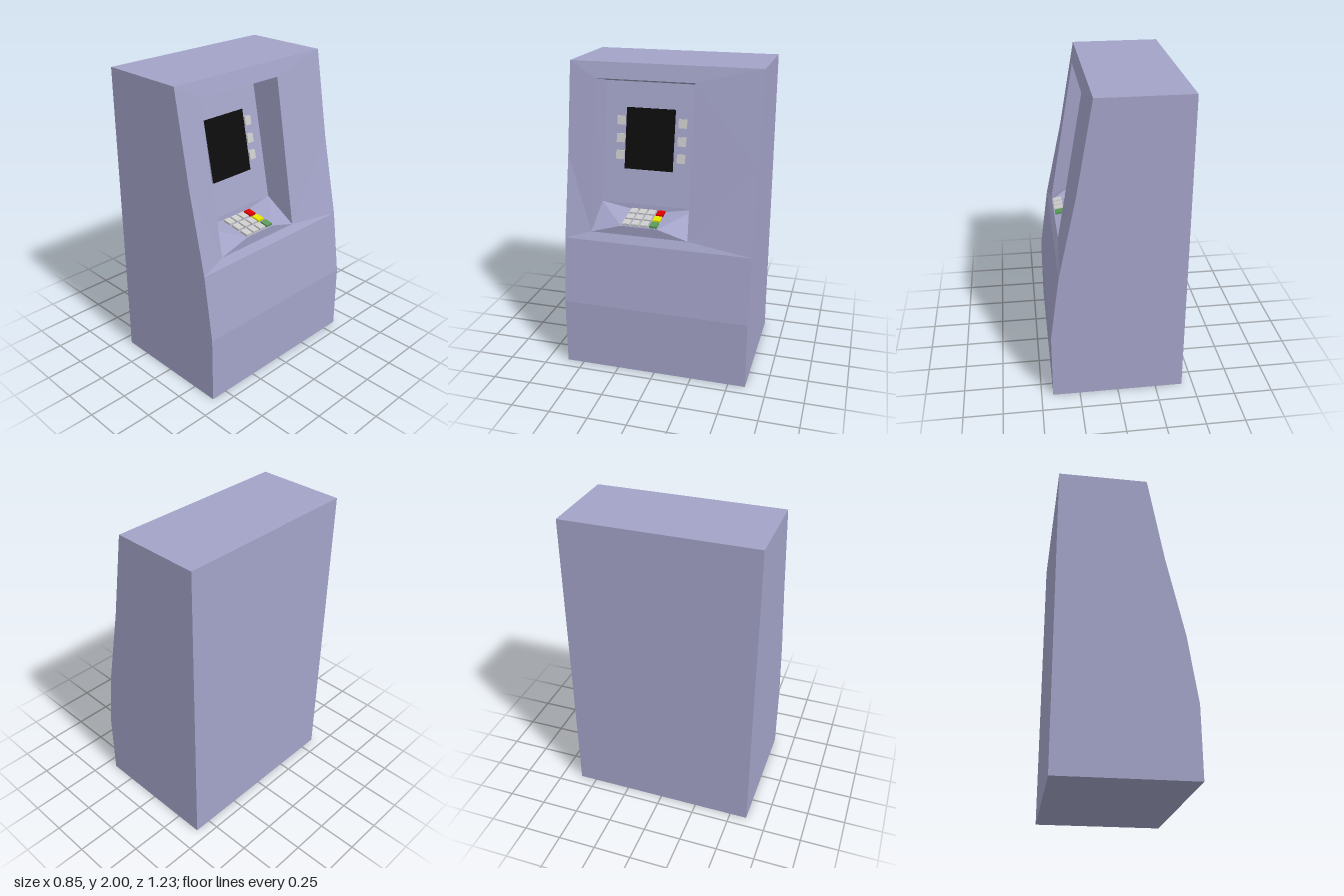
import * as THREE from 'three';

const paint = (color) => new THREE.MeshStandardMaterial({ color, flatShading: true });
const shellPaint = paint(0xa3a3c8);
const keyPaint = paint(0xcccccc);
const black = paint(0x0c0c0c);
const red = paint(0xdd0000);
const yellow = paint(0xe6e600);
const green = paint(0x5a9a58);

// Flat faces from corner lists (counter-clockwise seen from outside)
function facesMesh(name, faces) {
  const pos = [];
  for (const f of faces) {
    for (let i = 1; i < f.length - 1; i++) pos.push(...f[0], ...f[i], ...f[i + 1]);
  }
  const geo = new THREE.BufferGeometry();
  geo.setAttribute('position', new THREE.Float32BufferAttribute(pos, 3));
  geo.computeVertexNormals();
  const mesh = new THREE.Mesh(geo, shellPaint);
  mesh.name = name;
  return mesh;
}

function box(parent, name, size, at, material) {
  const mesh = new THREE.Mesh(new THREE.BoxGeometry(...size), material);
  mesh.position.set(...at);
  mesh.name = name;
  parent.add(mesh);
  return mesh;
}

export function createModel() {
  const root = new THREE.Group();
  root.name = 'cashMachine';

  // Side outline (x, y); the operating face looks towards +x
  const W = 0.613;
  const profile = [[-0.427, 0], [0.425, 0], [0.425, 0.45], [0.365, 0.885],
    [0.25, 1.42], [0.148, 2], [-0.427, 2]];
  const L = profile.map(([x, y]) => [x, y, W]);
  const R = profile.map(([x, y]) => [x, y, -W]);

  // Cabinet: two sides and the strips between, leaving the upper front open
  const cabinet = [L, [...R].reverse()];
  for (let i = 0; i < profile.length; i++) {
    if (i === 3 || i === 4) continue;
    const j = (i + 1) % profile.length;
    cabinet.push([L[i], R[i], R[j], L[j]]);
  }
  root.add(facesMesh('cabinet', cabinet));

  // Matching corners at the two sides of the recess and of the key shelf
  const pair = (x, y, z0, z1) => [[x, y, z0], [x, y, z1]];
  const [topL, topR] = pair(0.172, 1.9, 0.44, -0.2);
  const [lowL, lowR] = pair(0.338, 0.937, 0.44, -0.2);
  const [backTopL, backTopR] = pair(-0.04, 1.85, 0.44, -0.2);
  const [backLowL, backLowR] = pair(0.117, 1.07, 0.44, -0.2);
  const [shelfBackL, shelfBackR] = pair(0.12, 1.035, 0.235, 0);
  const [shelfL, shelfR] = pair(0.346, 1.001, 0.235, 0);

  // Front surround around the opening
  root.add(facesMesh('frontSurround', [
    [L[5], L[4], topL], [L[4], lowL, topL], [L[4], L[3], lowL],
    [L[3], R[3], lowR, lowL],
    [R[5], topR, R[4]], [R[4], topR, lowR], [R[4], lowR, R[3]],
    [L[5], topL, topR, R[5]],
  ]));

  // Recess: back panel, ceiling and walls
  root.add(facesMesh('recess', [
    [backTopL, backLowL, backLowR, backTopR],
    [topL, backTopL, backTopR, topR],
    [topL, lowL, backLowL, backTopL],
    [topR, backTopR, backLowR, lowR],
  ]));

  // Recess floor rising to the key shelf
  root.add(facesMesh('keyShelf', [
    [backLowL, shelfBackL, shelfBackR, backLowR],
    [backLowL, lowL, shelfL, shelfBackL],
    [lowL, lowR, shelfR, shelfL],
    [backLowR, shelfBackR, shelfR, lowR],
    [shelfBackL, shelfL, shelfR, shelfBackR],
  ]));

  // Screen and side buttons, in the plane of the back panel
  const panel = new THREE.Group();
  panel.name = 'displayPanel';
  panel.position.set(0.117, 1.07, 0.12);
  panel.rotation.z = Math.atan(0.2);
  box(panel, 'screenHousing', [0.05, 0.398, 0.325], [0.005, 0.433, 0.003], shellPaint);
  box(panel, 'screen', [0.004, 0.398, 0.325], [0.032, 0.433, 0.003], black);
  for (const z of [0.205, -0.205]) {
    for (const y of [0.32, 0.43, 0.545]) {
      box(panel, 'sideButton', [0.04, 0.057, 0.05], [0.005, y, z], keyPaint);
    }
  }
  root.add(panel);

  // Keypad on the sloping shelf; the end row holds the coloured keys
  const keypad = new THREE.Group();
  keypad.name = 'keypad';
  keypad.position.set(0.12, 1.035, 0);
  keypad.rotation.z = -Math.atan(0.15);
  const endRow = [red, yellow, green];
  for (let col = 0; col < 3; col++) {
    for (let row = 0; row < 4; row++) {
      box(keypad, 'key', [0.058, 0.03, 0.048], [0.042 + col * 0.075, 0, 0.025 + row * 0.06],
        row === 0 ? endRow[col] : keyPaint);
    }
  }
  root.add(keypad);
  return root;
}
